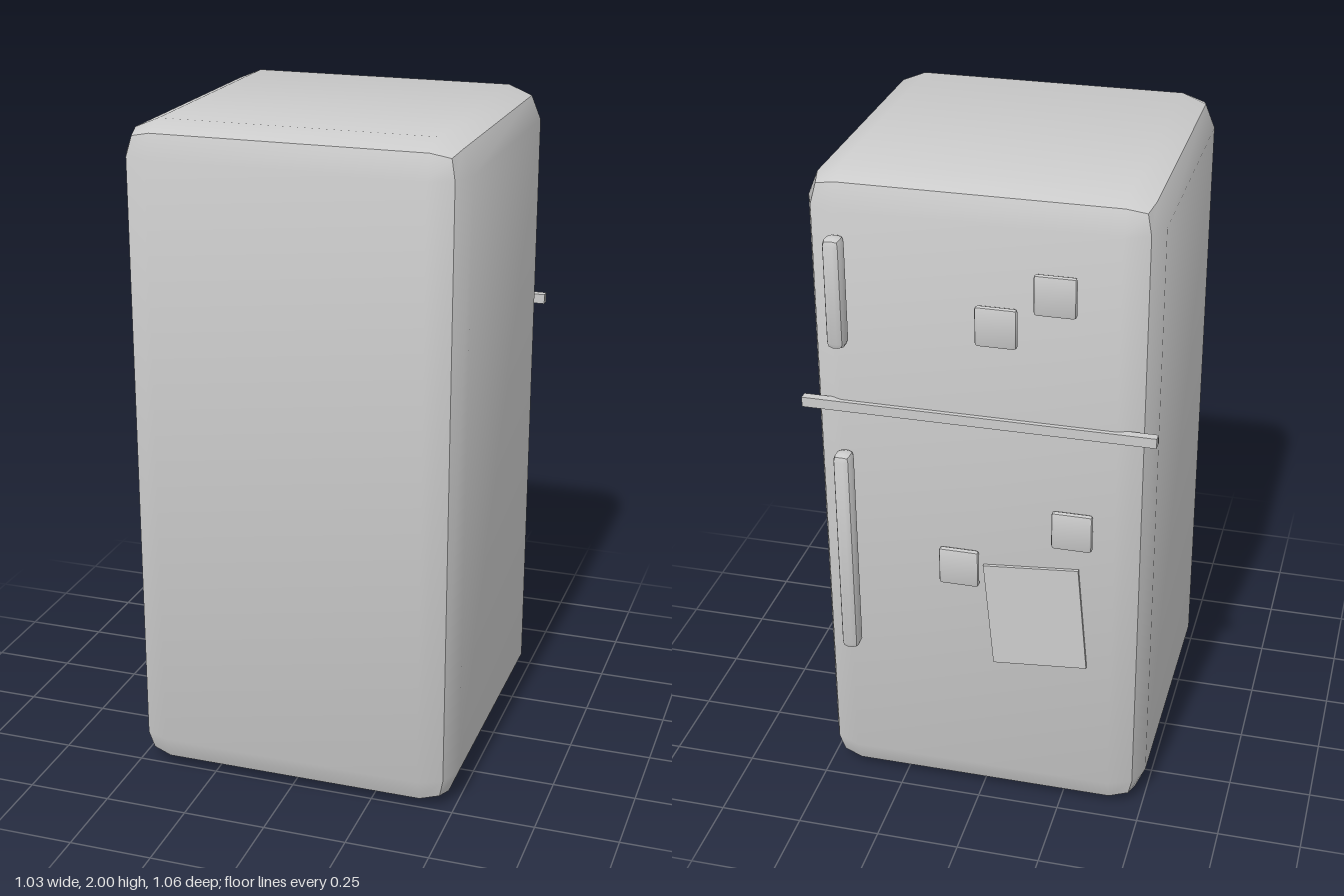
import * as THREE from 'three';
import { RoundedBoxGeometry } from 'three/addons/geometries/RoundedBoxGeometry.js';
import { toCreasedNormals } from 'three/addons/utils/BufferGeometryUtils.js';

export function createModel() {
  const model = new THREE.Group();
  model.name = 'fridge';
  const grey = new THREE.MeshStandardMaterial({ color: 0xcccccc });
  grey.name = 'grey enamel';

  function add(name, geometry, x, y, z) {
    const mesh = new THREE.Mesh(geometry, grey);
    mesh.name = name;
    mesh.position.set(x, y, z);
    model.add(mesh);
    return mesh;
  }
  // Two-step bevelled box, smooth within each side and sharp where sides meet
  const bevelled = (w, h, d, r) =>
    toCreasedNormals(new RoundedBoxGeometry(w, h, d, 1, r), 0.65);

  // Cabinet
  add('cabinet', bevelled(1, 2, 1, 0.1), 0, 1, 0.03);

  // Trim between freezer and fridge doors
  add('doorDivider', new THREE.BoxGeometry(1.026, 0.03, 0.026), 0, 1.31, -0.471);

  // Door handles
  add('freezerHandle', bevelled(0.054, 0.33, 0.062, 0.02), 0.39, 1.672, -0.499);
  add('fridgeHandle', bevelled(0.054, 0.666, 0.062, 0.02), 0.39, 0.838, -0.499);

  // Square magnets
  const magnet = bevelled(0.12, 0.12, 0.022, 0.01);
  [[-0.06, 1.61], [-0.225, 1.72], [0.055, 0.825], [-0.28, 0.993]].forEach(([x, y], i) =>
    add('magnet' + (i + 1), magnet, x, y, -0.484));

  // Tilted sheet of paper
  const note = add('paperNote', new THREE.BoxGeometry(0.284, 0.338, 0.012), -0.172, 0.68, -0.474);
  note.rotation.z = -0.087;

  return model;
}
